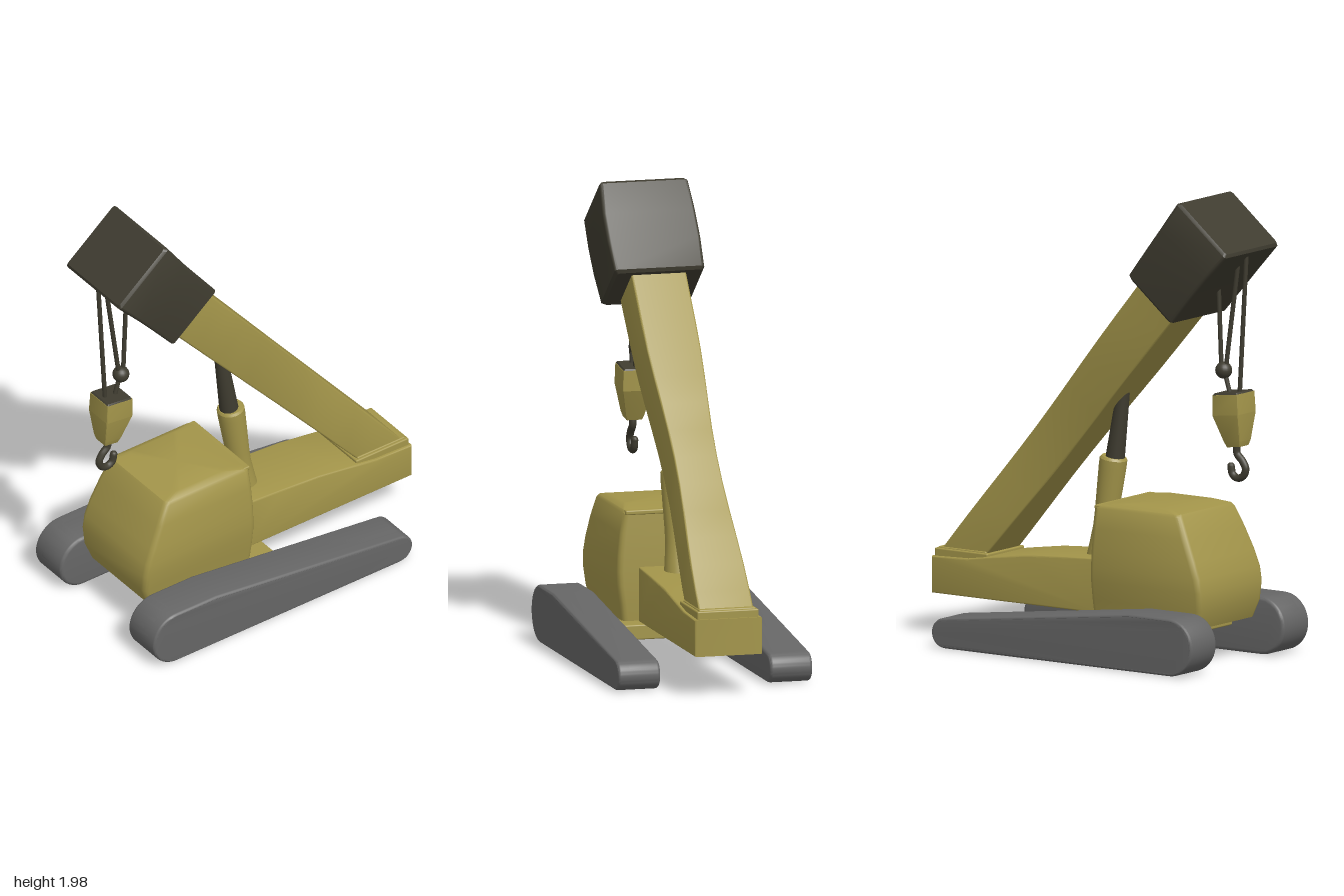
import * as THREE from 'three';
import { toCreasedNormals } from 'three/addons/utils/BufferGeometryUtils.js';
import { RoundedBoxGeometry } from 'three/addons/geometries/RoundedBoxGeometry.js';

const mat = (color) => new THREE.MeshStandardMaterial({ color });
const yellow = mat(0xa3954a), dark = mat(0x3f3c30), grey = mat(0x666666);
const V = (x, y, z = 0) => new THREE.Vector3(x, y, z);

function add(parent, name, geo, material) {
  const mesh = new THREE.Mesh(geo, material);
  mesh.name = name;
  parent.add(mesh);
  return mesh;
}

// Rounded box from its centre and size
function block(parent, name, [x, y, z], [w, h, d], material, r = 0.006) {
  add(parent, name, new RoundedBoxGeometry(w, h, d, 2, r), material).position.set(x, y, z);
}

// Shape in the xy plane extruded between two z values, edges bevelled by b
function slab(shape, za, zb, b) {
  const z0 = Math.min(za, zb), z1 = Math.max(za, zb);
  const geo = new THREE.ExtrudeGeometry(shape, {
    depth: z1 - z0 - 2 * b, bevelEnabled: b > 0, bevelThickness: b, bevelSize: b,
    bevelOffset: -b, bevelSegments: 3, curveSegments: 12,
  });
  geo.translate(0, 0, z0 + b);
  return toCreasedNormals(geo, 0.6);
}

// Rounded rectangles [cx, cy, half width in xy, half width in z], lofted along direction (dx, dy)
function loft([dx, dy], stations, r, crease = 0.6) {
  const len = Math.hypot(dx, dy), ux = -dy / len, uy = dx / len, n = 4;
  const rings = stations.map(([cx, cy, hu, hv]) => {
    const ring = [];
    for (let c = 0; c < 4; c++) {
      for (let i = 0; i < n; i++) {
        const a = (c + i / (n - 1)) * Math.PI / 2;
        const su = c === 0 || c === 3 ? 1 : -1, sv = c < 2 ? 1 : -1;
        const u = su * (hu - r) + r * Math.cos(a), v = sv * (hv - r) + r * Math.sin(a);
        ring.push(V(cx + ux * u, cy + uy * u, v));
      }
    }
    return ring;
  });
  const pts = [], m = 4 * n, last = rings.length - 1;
  const mid = (s) => V(s[0], s[1]);
  for (let j = 0; j < m; j++) {
    const k = (j + 1) % m;
    for (let i = 0; i < last; i++) {
      const a = rings[i][j], b = rings[i][k], c = rings[i + 1][k], d = rings[i + 1][j];
      pts.push(a, b, c, a, c, d);
    }
    pts.push(mid(stations[0]), rings[0][k], rings[0][j]);
    pts.push(mid(stations[last]), rings[last][j], rings[last][k]);
  }
  return toCreasedNormals(new THREE.BufferGeometry().setFromPoints(pts), crease);
}

// Tapered round bar between two points
function bar(parent, name, a, b, ra, rb, material, sides = 20) {
  const mesh = add(parent, name, new THREE.CylinderGeometry(rb, ra, a.distanceTo(b), sides), material);
  mesh.position.lerpVectors(a, b, 0.5);
  mesh.quaternion.setFromUnitVectors(V(0, 1), b.clone().sub(a).normalize());
}

// Track outline: large wheel end, flat top, then a slope to the small end; g insets it
function trackOutline(g, Type = THREE.Shape) {
  const s = new Type(), R = 0.123 - g, r = 0.064 - g;
  s.absarc(-0.645, 0.127, R, Math.PI / 2, Math.PI * 1.5, false);
  s.lineTo(0.52, 0.004 + g);
  s.absarc(0.522, 0.069, r, -Math.PI / 2, Math.PI / 2 - 0.1, false);
  s.lineTo(-0.44, 0.25 - g);
  s.closePath();
  return s;
}

function track(side) {
  const g = new THREE.Group();
  g.name = side > 0 ? 'frontTrack' : 'backTrack';
  const rim = trackOutline(0);
  rim.holes.push(trackOutline(0.022, THREE.Path));
  add(g, 'trackBelt', slab(rim, side * 0.25, side * 0.426, 0.012), grey);
  add(g, 'trackBody', slab(trackOutline(0), side * 0.24, side * 0.39, 0.014), grey);
  const wheels = [[-0.65, 0.127, 0.087], [-0.455, 0.127, 0.084], [-0.265, 0.117, 0.077],
    [-0.09, 0.107, 0.066], [0.06, 0.097, 0.055], [0.195, 0.09, 0.047],
    [0.315, 0.084, 0.041], [0.425, 0.078, 0.036], [0.52, 0.071, 0.033]];
  for (const [x, y, r] of wheels) {
    const disc = new THREE.Shape().absarc(0, 0, r, 0, Math.PI * 2);
    add(g, 'roadWheel', slab(disc, side * 0.37, side * 0.416, 0.008), grey).position.set(x, y, 0);
  }
  return g;
}

export function createModel() {
  const model = new THREE.Group();
  model.add(track(1), track(-1));

  // Undercarriage and chassis beam
  block(model, 'axlePlate', [-0.25, 0.148, 0], [0.5, 0.064, 0.49], yellow);
  const beam = new THREE.Shape([[-0.085, 0.178], [0.785, 0.178], [0.785, 0.336], [0.6, 0.342],
    [0.45, 0.366], [0.3, 0.388], [0.1, 0.402], [-0.085, 0.412]].map(([x, y]) => new THREE.Vector2(x, y)));
  add(model, 'chassisBeam', slab(beam, -0.148, 0.148, 0.007), yellow);
  block(model, 'boomSeat', [0.64, 0.348, 0], [0.274, 0.044, 0.27], yellow);
  block(model, 'boomCollar', [0.642, 0.358, 0], [0.25, 0.036, 0.25], yellow);

  // Cab body, bulging in the middle and drawn in at the roof
  add(model, 'cab', loft([0, 1], [
    [-0.37, 0.172, 0.27, 0.212], [-0.383, 0.25, 0.287, 0.222], [-0.384, 0.33, 0.288, 0.233],
    [-0.379, 0.39, 0.282, 0.235], [-0.366, 0.46, 0.268, 0.232], [-0.346, 0.555, 0.245, 0.222],
    [-0.327, 0.64, 0.222, 0.208], [-0.327, 0.652, 0.212, 0.2], [-0.34, 0.665, 0.13, 0.17],
  ], 0.025), yellow);
  block(model, 'cabRoofLip', [-0.15, 0.643, 0], [0.1, 0.02, 0.4], yellow);

  // Boom, waisted across its width
  const boom = [];
  const foot = V(0.637, 0.365), tip = V(-0.377, 1.5525);
  for (let i = 0; i <= 14; i++) {
    const t = -0.07 + i / 14 * 1.17;
    const p = foot.clone().lerp(tip, t);
    const waist = 0.5 + 0.5 * Math.cos(Math.min(1, Math.abs(t - 0.42) / 0.42) * Math.PI);
    boom.push([p.x, p.y, 0.089 + 0.024 * t, 0.12 - 0.025 * waist]);
  }
  add(model, 'boom', loft([-1.014, 1.1875], boom, 0.007), yellow);

  // Boom head
  const dir = V(-0.277, 0.337).normalize(), base = V(-0.38, 1.553), head = V(-0.657, 1.888);
  const headRing = (t, hu, hv) => {
    const p = base.clone().lerp(head, t);
    return [p.x, p.y, hu, hv];
  };
  add(model, 'boomHead', loft([dir.x, dir.y], [
    headRing(0, 0.135, 0.185), headRing(0.03, 0.146, 0.197), headRing(0.35, 0.149, 0.204),
    headRing(0.65, 0.154, 0.203), headRing(0.97, 0.164, 0.194), headRing(1, 0.154, 0.184),
  ], 0.014), dark);

  // Lifting ram: flared barrel and rod
  const ram = new THREE.Group();
  ram.name = 'liftRam';
  const profile = [[0, 0], [0.062, 0], [0.056, 0.06], [0.05, 0.14], [0.051, 0.2], [0.059, 0.4],
    [0.059, 0.435], [0.052, 0.445], [0, 0.445]].map(([x, y]) => new THREE.Vector2(x, y));
  const barrel = add(ram, 'ramBarrel', toCreasedNormals(new THREE.LatheGeometry(profile, 24), 0.6), yellow);
  barrel.position.set(0.008, 0.388, 0);
  barrel.rotation.z = 0.15;
  bar(ram, 'ramRod', V(-0.062, 0.8), V(-0.115, 1.16), 0.042, 0.026, dark);
  model.add(ram);

  // Hoist cables, ball, hook block and hook
  const hoist = new THREE.Group();
  hoist.name = 'hoist';
  const cables = [[-0.75, 1.79, -0.713, 1.16], [-0.708, 1.74, -0.642, 1.27],
    [-0.603, 1.63, -0.618, 1.27], [-0.635, 1.25, -0.665, 1.15]];
  for (const [x0, y0, x1, y1] of cables) {
    bar(hoist, 'cable', V(x0, y0), V(x1, y1), 0.01, 0.01, dark, 10);
  }
  add(hoist, 'cableBall', new THREE.SphereGeometry(0.036, 20, 14), dark).position.set(-0.63, 1.255, 0);
  add(hoist, 'hookBlock', loft([0.12, 0.99], [
    [-0.703, 0.937, 0.034, 0.034], [-0.701, 0.96, 0.042, 0.042], [-0.684, 1.075, 0.068, 0.066],
    [-0.68, 1.162, 0.066, 0.064],
  ], 0.005, 0.3), yellow);
  add(hoist, 'hookBlockCap', loft([0.12, 0.99], [
    [-0.68, 1.162, 0.064, 0.062], [-0.679, 1.169, 0.06, 0.058],
  ], 0.005), dark);
  const hookPath = new THREE.CatmullRomCurve3([V(-0.7, 0.95), V(-0.7, 0.905), V(-0.728, 0.875),
    V(-0.744, 0.842), V(-0.73, 0.81), V(-0.7, 0.8), V(-0.676, 0.815), V(-0.668, 0.848)]);
  add(hoist, 'hook', new THREE.TubeGeometry(hookPath, 40, 0.016, 12), dark);
  add(hoist, 'hookTip', new THREE.SphereGeometry(0.016, 12, 8), dark).position.set(-0.668, 0.848, 0);
  model.add(hoist);

  return model;
}
